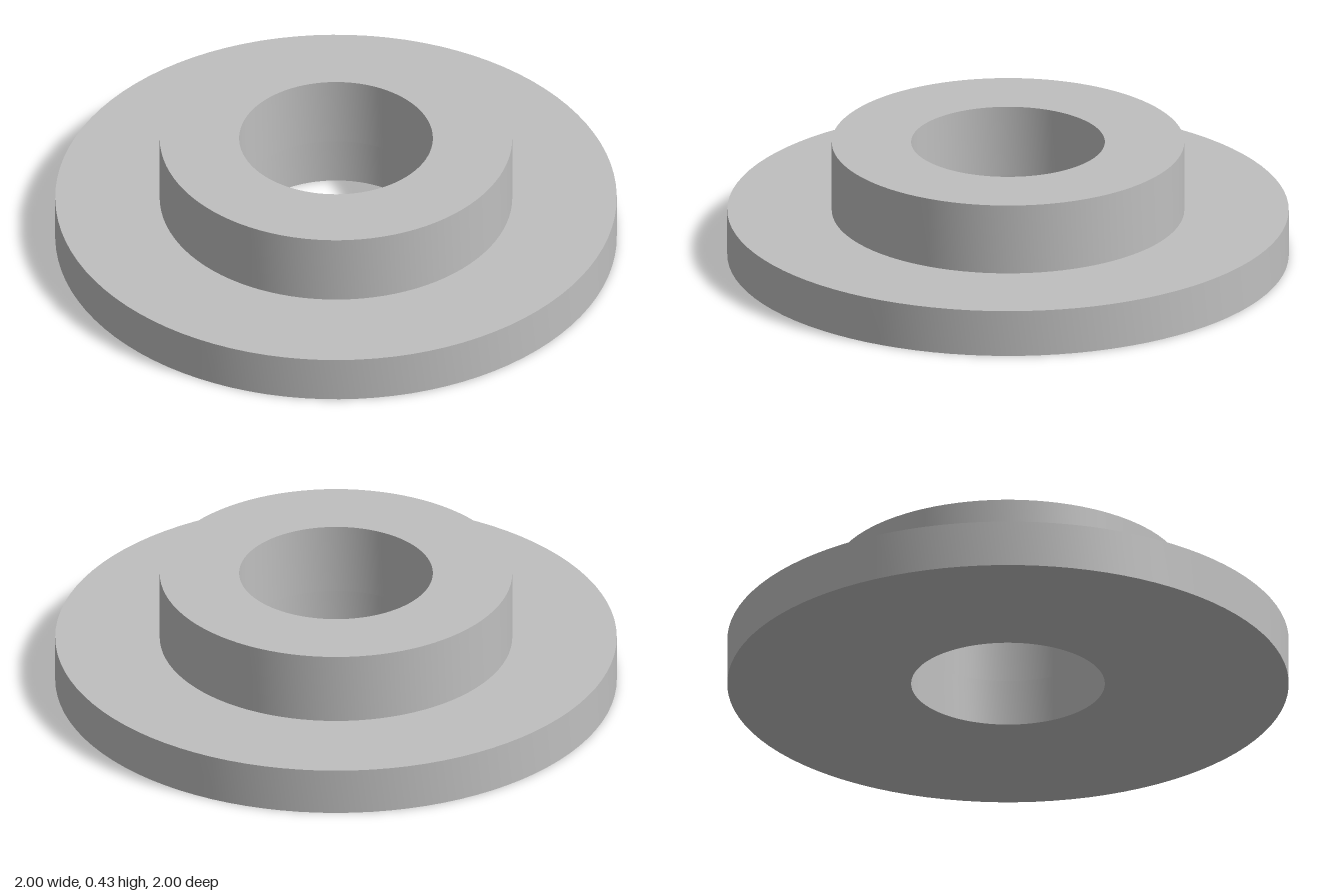
import * as THREE from 'three';
import { toCreasedNormals } from 'three/addons/utils/BufferGeometryUtils.js';

const BORE = 0.345, HUB = 0.628, RIM = 1;
const STEP = 0.171, TOP = 0.43;
const SEGMENTS = 96;

// Revolve a profile of [radius, height] points, keeping its corners sharp
function turned(name, profile, material) {
  const points = profile.map(([r, y]) => new THREE.Vector2(r, y));
  const geometry = toCreasedNormals(new THREE.LatheGeometry(points, SEGMENTS), Math.PI / 6);
  const mesh = new THREE.Mesh(geometry, material);
  mesh.name = name;
  return mesh;
}

export function createModel() {
  const model = new THREE.Group();
  model.name = 'flangedBushing';
  const metal = new THREE.MeshStandardMaterial({ color: 0xbfbfbf });
  metal.name = 'grey metal';

  // Wide base disc with the lower part of the bore
  model.add(turned('flange', [
    [BORE, STEP], [BORE, 0], [RIM, 0], [RIM, STEP], [HUB, STEP],
  ], metal));

  // Raised collar with the upper part of the bore
  model.add(turned('hub', [
    [HUB, STEP], [HUB, TOP], [BORE, TOP], [BORE, STEP],
  ], metal));

  return model;
}
